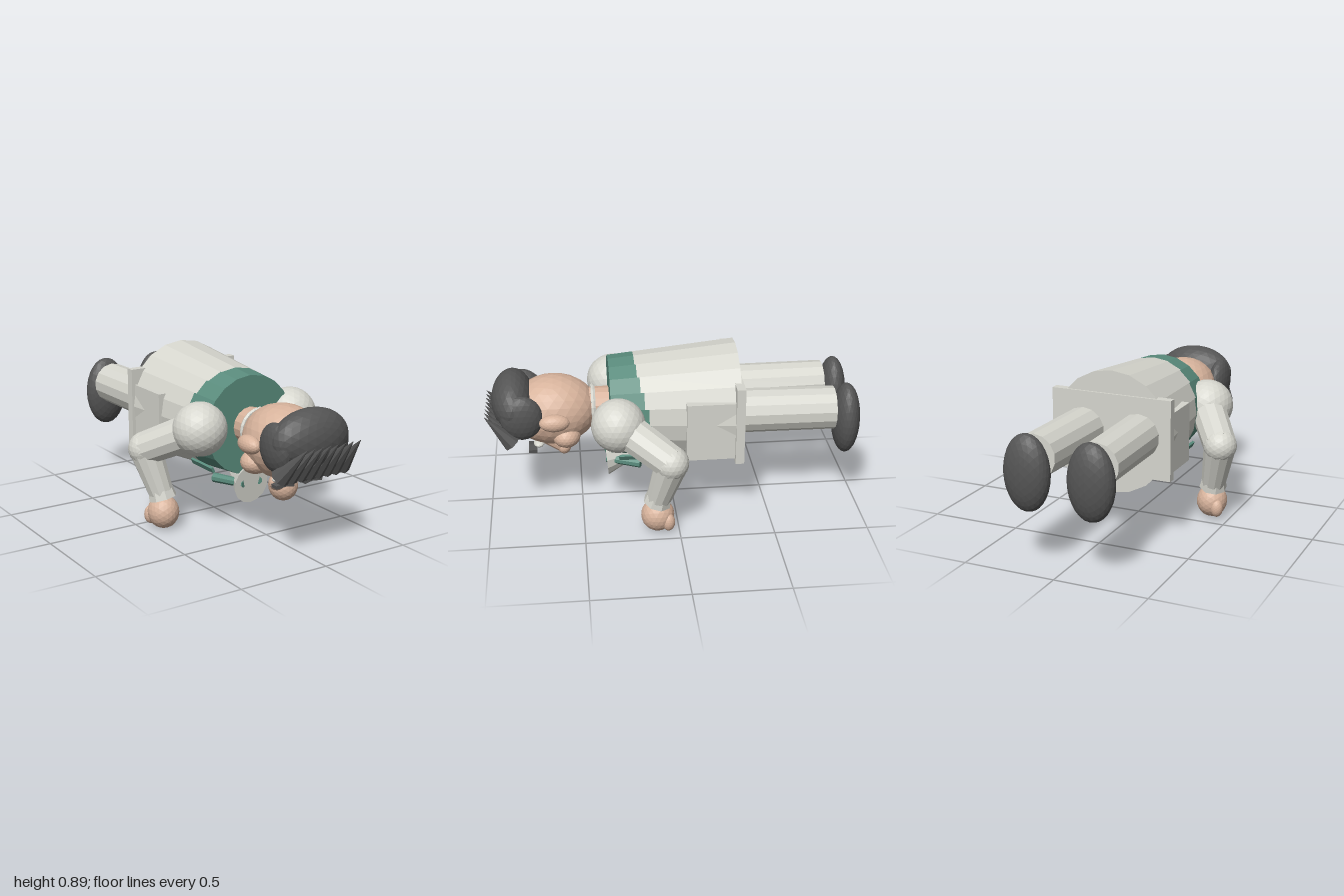
import * as THREE from 'three';

export function createModel() {
  const root = new THREE.Group();
  root.name = 'lyingFigure';
  const mat = (name, color) => {
    const m = new THREE.MeshStandardMaterial({ color, flatShading: true });
    m.name = name;
    return m;
  };
  const cloth = mat('paleCloth', 0xd6d6ce);
  const green = mat('greenVest', 0x5a8c7d);
  const skin = mat('skin', 0xd7b39c);
  const dark = mat('darkGrey', 0x555555);

  const V = (x, y, z) => new THREE.Vector3(x, y, z);
  const add = (name, geo, m, pos = [0, 0, 0]) => {
    const mesh = new THREE.Mesh(geo, m);
    mesh.name = name;
    mesh.position.set(...pos);
    root.add(mesh);
    return mesh;
  };
  const ball = (name, m, pos, radii, detail = 4) => {
    const mesh = add(name, new THREE.IcosahedronGeometry(1, detail), m, pos);
    mesh.scale.set(...radii);
    return mesh;
  };
  const box = (name, m, pos, size) => add(name, new THREE.BoxGeometry(...size), m, pos);
  // tapered round bar from a (radius ra) to b (radius rb)
  const bar = (name, m, a, b, ra, rb, sides = 12) => {
    const A = V(...a), B = V(...b), d = B.clone().sub(A);
    const mesh = add(name, new THREE.CylinderGeometry(rb, ra, d.length(), sides), m);
    mesh.position.copy(A).lerp(B, 0.5);
    mesh.quaternion.setFromUnitVectors(V(0, 1, 0), d.normalize());
    return mesh;
  };

  // Torso: 20-sided frustum along z, with a stepped vest edge
  const sides = 20, cy = 0.5625, zF = 0.34, zB = -0.34, rF = 0.265, rB = 0.33;
  const point = (i, z) => {
    const t = (i / sides) * Math.PI * 2, r = rF + (rB - rF) * (zF - z) / (zF - zB);
    return [Math.sin(t) * r, cy + Math.cos(t) * r, z];
  };
  const shell = (name, m, range) => {
    const p = [];
    for (let i = 0; i < sides; i++) {
      const [f, b] = range(i);
      const a0 = point(i, f), a1 = point(i + 1, f), b0 = point(i, b), b1 = point(i + 1, b);
      p.push(...a0, ...a1, ...b1, ...a0, ...b1, ...b0);
    }
    const g = new THREE.BufferGeometry();
    g.setAttribute('position', new THREE.Float32BufferAttribute(p, 3));
    g.computeVertexNormals();
    return add(name, g, m);
  };
  const edge = (i) => 0.13 + 0.075 * Math.max(0, Math.cos(((i + 0.5) / sides) * Math.PI * 2));
  shell('vest', green, (i) => [zF, edge(i)]);
  shell('coat', cloth, (i) => [edge(i), zB]);
  add('vestTop', new THREE.CircleGeometry(rF, sides, Math.PI / 2), green, [0, cy, zF]);
  add('coatBase', new THREE.CircleGeometry(rB, sides, Math.PI / 2), cloth, [0, cy, zB]).rotation.y = Math.PI;

  // Hip plate and flat side panels
  box('hipPlate', cloth, [0, 0.555, -0.329], [0.672, 0.43, 0.046]);
  box('sidePanels', cloth, [0, 0.524, -0.19], [0.634, 0.32, 0.28]);

  // Neck, collar and head
  bar('neck', skin, [0, 0.56, 0.3], [0, 0.56, 0.5], 0.1, 0.1, 16);
  add('collar', new THREE.TorusGeometry(0.105, 0.013, 6, 20), cloth, [0, 0.56, 0.425]);
  ball('head', skin, [0, 0.55, 0.635], [0.195, 0.19, 0.235]);

  // Nose
  bar('noseBridge', skin, [0, 0.4, 0.72], [0, 0.325, 0.6], 0.035, 0.038);
  ball('noseTip', skin, [0, 0.318, 0.59], [0.046, 0.042, 0.038], 3);

  // Hair cap and fringe
  ball('hairCap', dark, [0, 0.615, 0.85], [0.222, 0.155, 0.115]);
  ball('hairFront', dark, [0, 0.52, 0.845], [0.2, 0.115, 0.075]);
  for (let i = 0; i < 8; i++) {
    const x = -0.185 + i * 0.053;
    bar('fringeSpike', dark, [x, 0.45, 0.86], [x * 0.87 + 0.035, 0.612, 0.995], 0.05, 0.001, 8);
  }

  // Neckerchief cone on the chest
  bar('neckerchief', cloth, [0, 0.243, 0.36], [0, 0.26, 0.15], 0.105, 0.002, 14);

  for (const s of [1, -1]) {
    // Face details
    ball('ear', skin, [s * 0.207, 0.565, 0.635], [0.045, 0.047, 0.08], 3);
    ball('cheek', skin, [s * 0.125, 0.447, 0.575], [0.08, 0.062, 0.075], 3);
    ball('hairSide', dark, [s * 0.17, 0.585, 0.805], [0.056, 0.125, 0.112], 3);
    ball('eye', cloth, [s * 0.08, 0.388, 0.722], [0.045, 0.018, 0.03], 2);
    for (const [x, t] of [[0.06, 0.2], [0.113, -0.1]]) {
      const brow = box('brow', dark, [s * x, 0.37, 0.755], [0.056, 0.018, 0.045]);
      brow.rotation.z = s * t;
    }

    // Arm
    ball('shoulder', cloth, [s * 0.284, 0.575, 0.305], [0.142, 0.142, 0.142], 4);
    bar('upperArm', cloth, [s * 0.3, 0.56, 0.27], [s * 0.458, 0.435, 0.045], 0.098, 0.09);
    ball('elbow', cloth, [s * 0.458, 0.435, 0.045], [0.09, 0.09, 0.09], 3);
    bar('forearm', cloth, [s * 0.458, 0.435, 0.045], [s * 0.4, 0.19, 0.11], 0.088, 0.066);
    bar('cuff', cloth, [s * 0.404, 0.215, 0.105], [s * 0.396, 0.17, 0.115], 0.068, 0.076, 8);
    ball('hand', skin, [s * 0.393, 0.093, 0.113], [0.083, 0.09, 0.088], 3);
    ball('thumb', skin, [s * 0.44, 0.07, 0.06], [0.035, 0.05, 0.035], 3);

    // Leg and foot
    bar('leg', cloth, [s * 0.155, 0.565, -0.33], [s * 0.168, 0.565, -0.855], 0.118, 0.115, 14);
    box('trouserCrease', cloth, [s * 0.165, 0.452, -0.66], [0.012, 0.02, 0.31]);
    ball('foot', dark, [s * 0.173, 0.502, -0.924], [0.125, 0.2, 0.074]);

    // Ribbon ends beside the neckerchief and vest trim
    bar('ribbon', green, [s * 0.045, 0.253, 0.36], [s * 0.115, 0.25, 0.18], 0.022, 0.026, 8);
    const trim = box('vestTrim', green, [s * 0.2, 0.338, 0.2], [0.014, 0.03, 0.2]);
    trim.rotation.z = s * -0.45;
  }
  return root;
}
